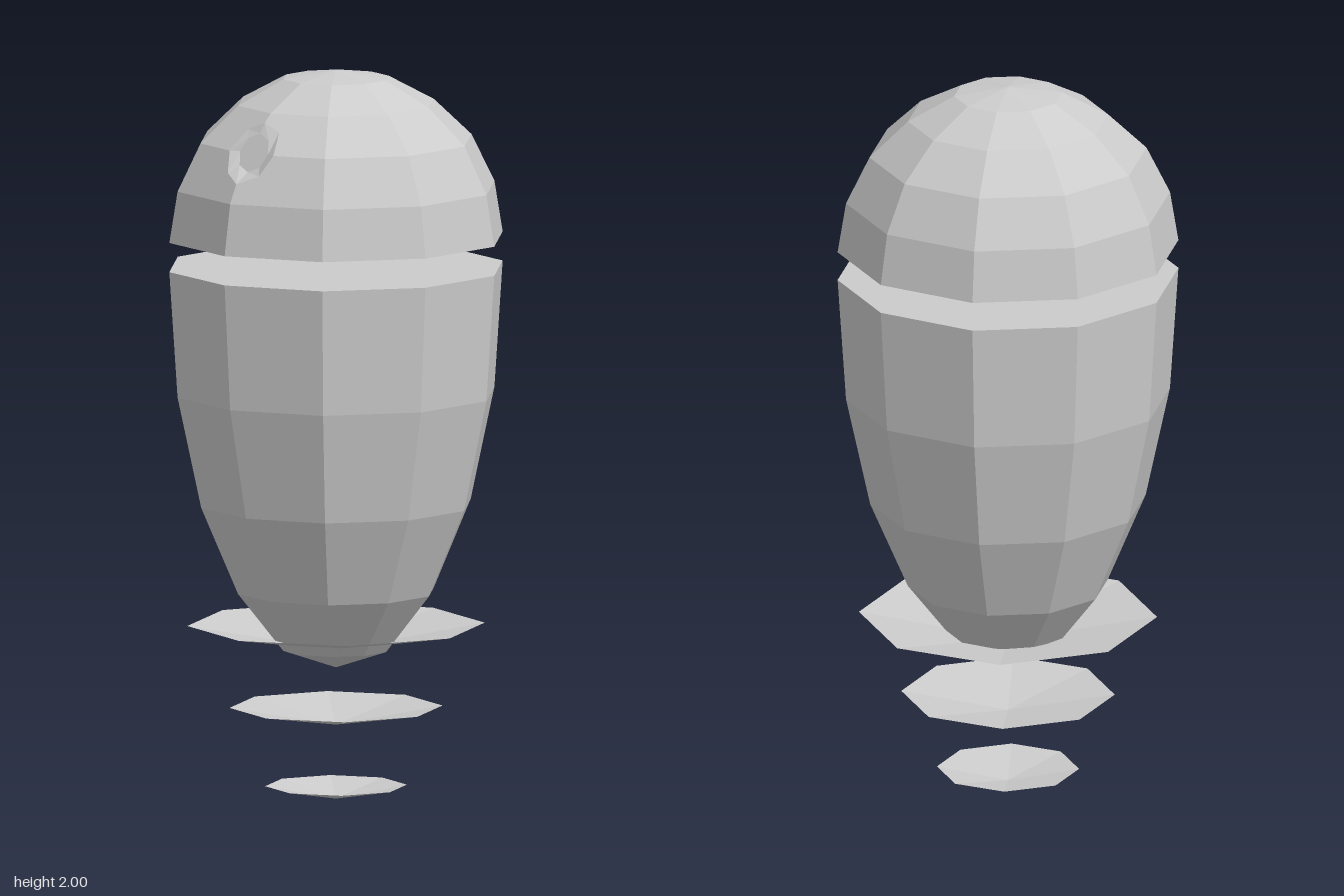
import * as THREE from 'three';

const material = new THREE.MeshStandardMaterial({ color: 0xcccccc, flatShading: true });
const thin = new THREE.MeshStandardMaterial({ color: 0xcccccc, flatShading: true, side: THREE.DoubleSide });
const STEP = Math.PI / 5; // ten-sided body
const EYE_Y = 1.81;

const bottomProfile = [[0, 0.36], [0.147, 0.41], [0.273, 0.57], [0.376, 0.81], [0.442, 1.115], [0.465, 1.46], [0, 1.46]];
const domeProfile = [[0, 1.54], [0.465, 1.54], [0.442, 1.68], [0.378, EYE_Y], [0.273, 1.91], [0.147, 1.978], [0, 2]];

function mesh(name, geometry, mat = material) {
  const m = new THREE.Mesh(geometry, mat);
  m.name = name;
  return m;
}

function lathe(profile, segments = 10, start = 0) {
  const points = profile.map(([r, y]) => new THREE.Vector2(r, y));
  return new THREE.LatheGeometry(points, segments, start, segments * STEP);
}

// Depth of the dome's two front columns at a given x, y
function domeRadius(y) {
  const i = domeProfile.findIndex((p, k) => k > 1 && p[1] >= y);
  const [r0, y0] = domeProfile[i - 1], [r1, y1] = domeProfile[i];
  return r0 + (r1 - r0) * (y - y0) / (y1 - y0);
}
const domeZ = (x, y) => domeRadius(y) - Math.abs(x) * Math.tan(STEP / 2);

// Octagon around the eye centre, with depth from a rule
function octagon(radius, depth) {
  return Array.from({ length: 8 }, (_, i) => {
    const a = i * Math.PI / 4;
    const x = radius * Math.cos(a), y = EYE_Y + radius * Math.sin(a);
    return new THREE.Vector3(x, y, depth(x, y));
  });
}

// One front facet of the dome with a quarter of the eye opening cut from it
function cutFacet(sx, sy, radius) {
  const yEdge = sy > 0 ? 1.91 : 1.68;
  const side = (y) => new THREE.Vector2(sx * domeRadius(y) * Math.sin(STEP), y);
  const outline = [0, 1, 2].map((i) => {
    const a = i * Math.PI / 4;
    return new THREE.Vector2(sx * radius * Math.sin(a), EYE_Y + sy * radius * Math.cos(a));
  });
  outline.push(side(EYE_Y), side(yEdge), new THREE.Vector2(0, yEdge));
  const g = new THREE.ShapeGeometry(new THREE.Shape(outline));
  const p = g.attributes.position;
  for (let i = 0; i < p.count; i++) p.setZ(i, domeZ(p.getX(i), p.getY(i)));
  g.computeVertexNormals();
  return g;
}

// Sloped wall and floor of the eye recess
function eyeSocket(rim, floor) {
  const wall = [], base = [];
  const centre = floor.reduce((s, v) => s.add(v), new THREE.Vector3()).divideScalar(8);
  for (let i = 0; i < 8; i++) {
    const j = (i + 1) % 8;
    wall.push(rim[i], rim[j], floor[i], rim[j], floor[j], floor[i]);
    base.push(centre, floor[i], floor[j]);
  }
  const group = new THREE.Group();
  group.name = 'eye';
  for (const [name, pts] of [['eyeWall', wall], ['eyeLens', base]]) {
    const g = new THREE.BufferGeometry().setFromPoints(pts);
    g.computeVertexNormals();
    group.add(mesh(name, g));
  }
  return group;
}

export function createModel() {
  const model = new THREE.Group();
  model.name = 'hoveringRobot';

  model.add(mesh('lowerBody', lathe(bottomProfile)));

  // Dome, with its front left open around the eye
  const dome = new THREE.Group();
  dome.name = 'headDome';
  dome.add(mesh('domeShell', lathe(domeProfile, 8, STEP)));
  dome.add(mesh('domeFrontLower', lathe(domeProfile.slice(0, 3), 2, -STEP)));
  dome.add(mesh('domeFrontUpper', lathe(domeProfile.slice(4), 2, -STEP)));
  const rimRadius = 0.078;
  for (const sx of [-1, 1]) {
    for (const sy of [-1, 1]) dome.add(mesh('domeFrontFacet', cutFacet(sx, sy, rimRadius)));
  }
  model.add(dome);

  model.add(eyeSocket(
    octagon(rimRadius, domeZ),
    octagon(0.05, (x, y) => 0.342 - 0.53 * (y - EYE_Y)),
  ));

  // Shallow hover cones, points down
  for (const [radius, top, tip] of [[0.405, 0.478, 0.408], [0.29, 0.252, 0.203], [0.193, 0.036, 0]]) {
    const g = new THREE.ConeGeometry(radius, top - tip, 8, 1, true);
    g.rotateX(Math.PI);
    const cone = mesh('hoverCone', g, thin);
    cone.position.y = (top + tip) / 2;
    model.add(cone);
  }
  return model;
}
